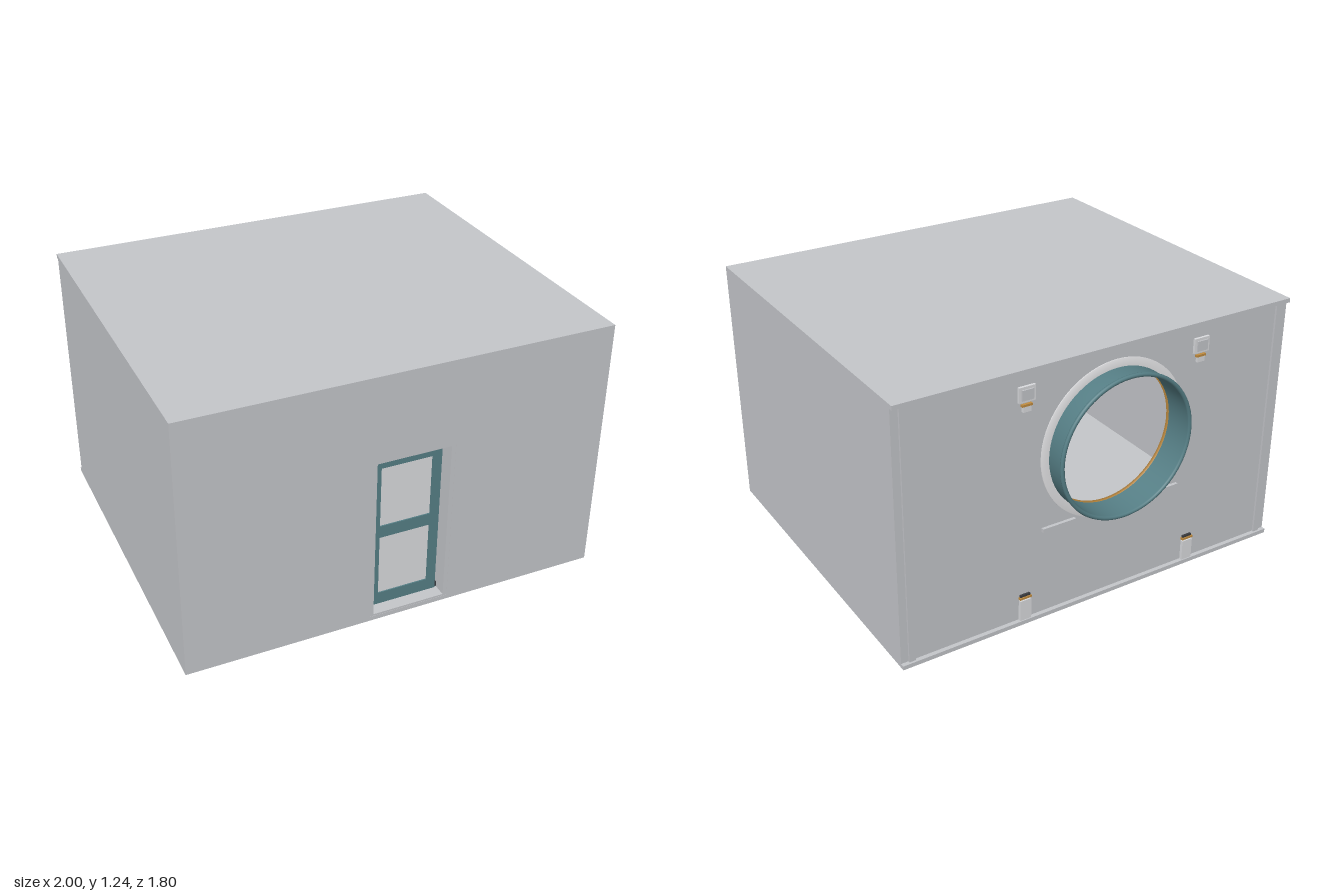
import * as THREE from 'three';

const mat = (name, color, side = THREE.FrontSide) => {
  const m = new THREE.MeshStandardMaterial({ color, side });
  m.name = name;
  return m;
};

export function createModel() {
  const root = new THREE.Group();
  root.name = 'roomModule';
  const wall = mat('wallGrey', 0xc4c6ca);
  const teal = mat('tealMetal', 0x567f86, THREE.DoubleSide);
  const pane = mat('paneGrey', 0xdadbde);
  const white = mat('softWhite', 0xe8e8ea, THREE.DoubleSide);
  const gold = mat('goldenWood', 0xc08c40);
  const dark = mat('darkMetal', 0x3a3c40);

  const add = (name, geo, m, parent = root) => {
    const mesh = new THREE.Mesh(geo, m);
    mesh.name = name;
    parent.add(mesh);
    return mesh;
  };
  // Box given by its minimum and maximum corners
  const box = (name, m, [x0, y0, z0], [x1, y1, z1], parent = root) => {
    const mesh = add(name, new THREE.BoxGeometry(x1 - x0, y1 - y0, z1 - z0), m, parent);
    mesh.position.set((x0 + x1) / 2, (y0 + y1) / 2, (z0 + z1) / 2);
    return mesh;
  };
  const rect = (x0, y0, x1, y1, Type = THREE.Shape) => {
    const s = new Type();
    s.moveTo(x0, y0);
    s.lineTo(x1, y0);
    s.lineTo(x1, y1);
    s.lineTo(x0, y1);
    s.closePath();
    return s;
  };
  const plate = (name, m, shape, holes, z0, z1) => {
    shape.holes.push(...holes);
    const geo = new THREE.ExtrudeGeometry(shape, { depth: z1 - z0, bevelEnabled: false, curveSegments: 48 });
    geo.translate(0, 0, z0);
    return add(name, geo, m);
  };

  const H = 1.24, cx = -0.06, cy = 0.79;

  // Shell: roof and floor overhang the back wall as lips
  box('roof', wall, [-1, H - 0.02, -0.81], [1, H, 0.9]);
  box('floor', wall, [-1, 0, -0.81], [1, 0.02, 0.9]);
  for (const s of [-1, 1]) {
    const side = box('sideWall', wall, [0.97, 0.02, -0.79], [1, H - 0.02, 0.9]);
    side.position.x *= s;
    const post = box('cornerPost', wall, [0.935, 0.02, -0.8], [0.965, H - 0.02, -0.785]);
    post.position.x *= s;
  }
  plate('frontWall', wall, rect(-0.97, 0.02, 0.97, H - 0.02),
    [rect(-0.14, 0.021, 0.25, 0.845, THREE.Path)], 0.87, 0.9);
  const porthole = new THREE.Path();
  porthole.absarc(cx, cy, 0.325, 0, Math.PI * 2, true);
  plate('backWall', wall, rect(-0.97, 0.02, 0.97, H - 0.02), [porthole], -0.79, -0.76);

  // Door set back inside its frame
  plate('doorFrame', wall, rect(-0.14, 0.021, 0.25, 0.845),
    [rect(-0.12, 0.03, 0.23, 0.825, THREE.Path)], 0.81, 0.899);
  plate('doorLeaf', teal, rect(-0.11, 0.03, 0.22, 0.815),
    [rect(-0.07, 0.09, 0.175, 0.395, THREE.Path), rect(-0.07, 0.455, 0.175, 0.755, THREE.Path)], 0.815, 0.84);
  for (const [y0, y1] of [[0.09, 0.395], [0.455, 0.755]])
    box('doorPane', pane, [-0.07, y0, 0.822], [0.175, y1, 0.834]);
  for (const x of [-0.12, 0.22])
    box('doorHinge', dark, [x, 0.03, 0.815], [x + 0.01, 0.055, 0.835]);

  // Round connection collar, turned about the z axis
  const ring = (name, m, points) => {
    const geo = new THREE.LatheGeometry(points.map(([r, d]) => new THREE.Vector2(r, d)), 72);
    geo.rotateX(-Math.PI / 2);
    add(name, geo, m).position.set(cx, cy, 0);
  };
  ring('collar', teal, [[0.324, 0.76], [0.337, 0.76], [0.337, 0.885]]);
  ring('collarInside', teal, [[0.324, 0.89], [0.324, 0.76]]);
  const bead = add('collarBead', new THREE.TorusGeometry(0.334, 0.01, 10, 72), teal);
  bead.position.set(cx, cy, -0.89);
  ring('wallFlange', white, [[0.375, 0.788], [0.375, 0.797], [0.337, 0.797]]);
  ring('innerTrim', gold, [[0.322, 0.745], [0.322, 0.765], [0.34, 0.765], [0.34, 0.745], [0.322, 0.745]]);

  // Latches and rails on the back wall, mirrored about the collar
  for (const s of [-1, 1]) {
    const x = cx + s * 0.45, rx = cx + s * 0.28;
    box('upperLatchPlate', pane, [x - 0.04, 1.09, -0.802], [x + 0.04, 1.16, -0.788]);
    box('upperLatchWindow', wall, [x - 0.028, 1.1, -0.808], [x + 0.028, 1.148, -0.8]);
    box('upperLatchHook', gold, [x - 0.025, 1.07, -0.803], [x + 0.025, 1.08, -0.788]);
    box('upperLatchTongue', pane, [x - 0.02, 1.045, -0.802], [x + 0.02, 1.07, -0.788]);
    box('lowerLatchPlate', pane, [x - 0.028, 0.02, -0.805], [x + 0.028, 0.122, -0.788]);
    box('lowerLatchHook', gold, [x - 0.03, 0.128, -0.805], [x + 0.03, 0.138, -0.788]);
    box('lowerLatchCap', dark, [x - 0.025, 0.138, -0.8], [x + 0.025, 0.148, -0.788]);
    box('backRail', wall, [rx - 0.085, 0.438, -0.805], [rx + 0.085, 0.456, -0.788]);
  }

  // Bed with a gently rumpled cover
  box('bedBase', gold, [0.02, 0.03, -0.4], [0.8, 0.13, 0.74]);
  const cover = new THREE.PlaneGeometry(0.8, 1.16, 24, 32);
  cover.rotateX(-Math.PI / 2);
  const p = cover.attributes.position;
  for (let i = 0; i < p.count; i++) {
    const x = p.getX(i), z = p.getZ(i);
    p.setY(i, 0.16 + 0.015 * Math.sin(9 * x + 4 * z) + 0.012 * Math.sin(11 * z - 7 * x));
  }
  cover.computeVertexNormals();
  add('bedCover', cover, white).position.set(0.41, 0, 0.17);
  box('skirtingBoard', gold, [0.945, 0.1, 0], [0.969, 0.13, 0.86]);

  // Shelf of books standing against the side wall
  const shelf = new THREE.Group();
  shelf.name = 'bookshelf';
  root.add(shelf);
  for (const z of [-0.52, 0])
    box('shelfEnd', wall, [0.62, 0.02, z], [0.96, 0.72, z + 0.02], shelf);
  for (let row = 0; row < 4; row++) {
    const y = 0.19 + row * 0.16;
    box('shelfBoard', wall, [0.62, y, -0.5], [0.96, y + 0.015, 0], shelf);
    if (row === 3) continue;
    for (let i = 0; i < 14; i++) {
      const z = -0.49 + i * 0.034, h = 0.09 + 0.012 * ((i * 5 + row * 3) % 4);
      box('book', gold, [0.63 + 0.008 * (i % 2), y + 0.015, z], [0.85, y + 0.015 + h, z + 0.028], shelf);
    }
  }

  // Curved ceiling lamp
  const path = new THREE.CatmullRomCurve3([
    [-0.3, 1.22, -0.3], [-0.26, 1.16, -0.34], [-0.32, 1.09, -0.36], [-0.27, 1.03, -0.4],
  ].map(a => new THREE.Vector3(...a)));
  add('lampArm', new THREE.TubeGeometry(path, 24, 0.01, 8), dark);
  for (const t of [0.33, 0.67, 1])
    add('lampJoint', new THREE.SphereGeometry(0.022, 14, 10), dark).position.copy(path.getPointAt(t));

  return root;
}
